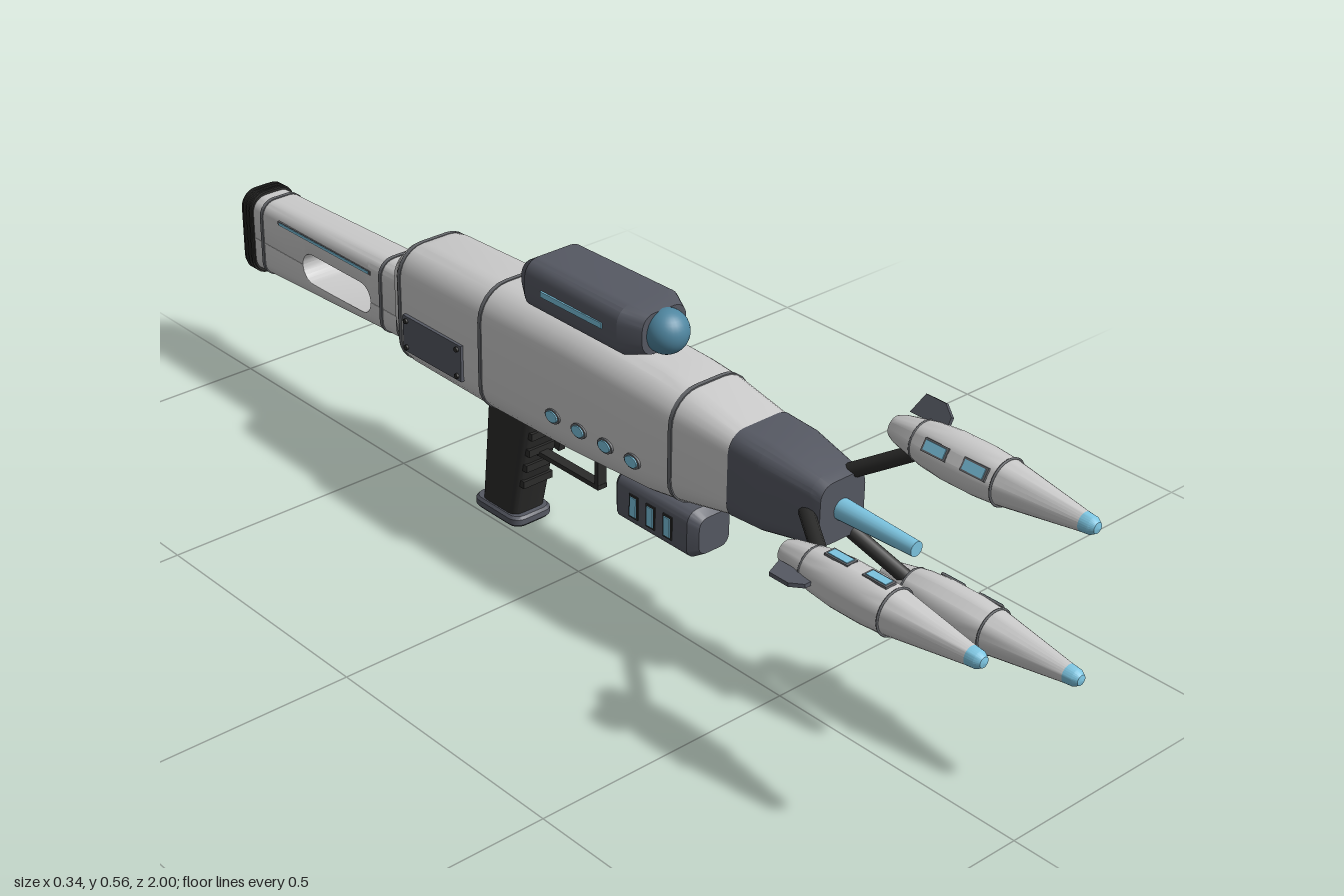
import * as THREE from 'three';
import { toCreasedNormals } from 'three/addons/utils/BufferGeometryUtils.js';

const CX = 0.05, AXIS_Y = 0.363; // centre line of the body and barrel
const mat = (color) => new THREE.MeshStandardMaterial({ color, side: THREE.DoubleSide });
const shell = mat(0xcccccc), dark = mat(0x555862), seamGrey = mat(0x66686c), black = mat(0x2b2b2a);
const blue = mat(0x7cc4e0), glass = mat(0x4f86a0);

export function createModel() {
  const model = new THREE.Group();

  function add(name, geometry, material, parent = model) {
    const mesh = new THREE.Mesh(geometry, material);
    mesh.name = name;
    parent.add(mesh);
    return mesh;
  }
  function box(name, w, h, d, x, y, z, material, parent) {
    const mesh = add(name, new THREE.BoxGeometry(w, h, d), material, parent);
    mesh.position.set(x, y, z);
    return mesh;
  }

  // Rounded-rectangle ring, section = [z, bottom, top, halfWidth, bottomRadius, topRadius]
  function ring([z, y0, y1, hw, rb, rt = rb]) {
    const corners = [[1, y0, rb, -90], [1, y1, rt, 0], [-1, y1, rt, 90], [-1, y0, rb, 180]];
    const pts = [];
    for (const [side, y, r, start] of corners) {
      const cy = y === y0 ? y0 + r : y1 - r;
      for (let i = 0; i <= 6; i++) {
        const a = THREE.MathUtils.degToRad(start + i * 15);
        pts.push([CX + side * (hw - r) + r * Math.cos(a), cy + r * Math.sin(a), z]);
      }
    }
    return pts;
  }
  // Capped skin over sections of ascending z
  function loft(sections, crease = 0.5) {
    const rings = sections.map(ring), pos = [], n = rings[0].length;
    const first = sections[0], last = sections[sections.length - 1];
    for (let j = 0; j < n; j++) {
      const k = (j + 1) % n;
      for (let i = 0; i < rings.length - 1; i++) {
        const a = rings[i][j], b = rings[i][k], c = rings[i + 1][k], d = rings[i + 1][j];
        pos.push(...a, ...b, ...c, ...a, ...c, ...d);
      }
      pos.push(CX, (first[1] + first[2]) / 2, first[0], ...rings[0][k], ...rings[0][j]);
      pos.push(CX, (last[1] + last[2]) / 2, last[0], ...rings.at(-1)[j], ...rings.at(-1)[k]);
    }
    const g = new THREE.BufferGeometry();
    g.setAttribute('position', new THREE.Float32BufferAttribute(pos, 3));
    return toCreasedNormals(g, crease);
  }
  // Thin raised band that follows a loft at z
  function band(name, sections, z, grow = 0.002, half = 0.004, material = seamGrey) {
    const i = Math.max(1, sections.findIndex((s) => s[0] >= z));
    const a = sections[i - 1], b = sections[i], t = (z - a[0]) / (b[0] - a[0]);
    const s = a.map((v, k) => v + (b[k] - v) * t);
    const at = (dz) => [z + dz, s[1] - grow, s[2] + grow, s[3] + grow, s[4] + grow];
    add(name, loft([at(-half), at(half)]), material);
  }

  // Main body with seams
  const body = [
    [-0.5, 0.268, 0.43, 0.056, 0.04], [-0.46, 0.238, 0.462, 0.08, 0.05], [-0.43, 0.233, 0.468, 0.085, 0.058],
    [-0.2, 0.231, 0.474, 0.087, 0.06], [0, 0.235, 0.478, 0.088, 0.06], [0.2, 0.246, 0.472, 0.087, 0.06],
    [0.27, 0.258, 0.465, 0.084, 0.055], [0.4, 0.287, 0.44, 0.069, 0.035]];
  add('body', loft(body), shell);
  for (const z of [-0.45, -0.217, 0.265]) band('bodySeam', body, z);

  // Tapered nose and barrel
  add('nose', loft([[0.385, 0.283, 0.443, 0.072, 0.035], [0.45, 0.286, 0.441, 0.07, 0.035],
    [0.55, 0.302, 0.424, 0.054, 0.028], [0.568, 0.308, 0.418, 0.049, 0.026]], 0.3), dark);
  const barrel = add('barrel', new THREE.CylinderGeometry(0.013, 0.019, 0.17, 20), blue);
  barrel.rotation.x = Math.PI / 2;
  barrel.position.set(CX, AXIS_Y, 0.64);

  // Stock: upper and lower halves leave a round-ended slot
  const slotMid = 0.3, slotR = 0.03, slotBack = -0.8, slotFront = -0.588;
  const zs = [-0.965, -0.94];
  const arc = [0, 10, 25, 40, 55, 70, 90].map((d) => slotR * Math.cos(THREE.MathUtils.degToRad(d)));
  for (const o of arc) zs.push(slotBack + slotR - o);
  for (const o of [...arc].reverse()) zs.push(slotFront - slotR + o);
  zs.push(-0.54, -0.47);
  const gap = (z) => {
    const c = THREE.MathUtils.clamp(z, slotBack + slotR, slotFront - slotR);
    return Math.sqrt(Math.max(0, slotR ** 2 - (z - c) ** 2));
  };
  const stockTop = (z) => 0.395 + (z + 0.5) * 0.03;
  const stockBottom = (z) => 0.247 + (z + 0.5) * 0.045;
  add('stockUpper', loft(zs.map((z) => [z, slotMid + gap(z), stockTop(z), 0.047, 0.001, 0.03])), shell);
  add('stockLower', loft(zs.map((z) => [z, stockBottom(z), slotMid - gap(z), 0.047, 0.03, 0.001])), shell);
  const stock = [-0.97, -0.47].map((z) => [z, stockBottom(z), stockTop(z), 0.047, 0.03]);
  for (const z of [-0.93, -0.555, -0.505]) band('stockSeam', stock, z);
  add('buttPad', loft([[-1, 0.222, 0.38, 0.045, 0.03], [-0.994, 0.219, 0.385, 0.049, 0.033],
    [-0.958, 0.22, 0.386, 0.049, 0.033]]), black);
  for (const z of [-0.986, -0.976, -0.966]) {
    add('buttPadRib', loft([[z - 0.002, 0.217, 0.388, 0.051, 0.034], [z + 0.002, 0.217, 0.388, 0.051, 0.034]]), black);
  }

  // Sight housing with round lens
  add('sight', loft([[-0.157, 0.48, 0.535, 0.042, 0.02], [-0.12, 0.468, 0.558, 0.066, 0.03],
    [0.115, 0.468, 0.559, 0.068, 0.03], [0.155, 0.478, 0.552, 0.048, 0.026]], 0.35), dark);
  const lens = add('sightLens', new THREE.SphereGeometry(0.039, 28, 20), glass);
  lens.position.set(CX, 0.515, 0.161);

  // Underslung light box
  add('lightBox', loft([[0.08, 0.158, 0.225, 0.034, 0.018], [0.095, 0.147, 0.235, 0.046, 0.022],
    [0.268, 0.147, 0.237, 0.046, 0.022], [0.285, 0.157, 0.225, 0.034, 0.018]], 0.35), dark);
  box('lightBoxMount', 0.05, 0.05, 0.12, CX, 0.245, 0.18, dark);

  // Side details, mirrored
  for (const s of [-1, 1]) {
    const x = (d) => CX + s * d;
    box('sightStripe', 0.006, 0.01, 0.155, x(0.067), 0.515, 0.002, blue);
    box('stockGroove', 0.004, 0.008, 0.29, x(0.0465), 0.36, -0.73, seamGrey);
    box('stockStripe', 0.006, 0.005, 0.28, x(0.0465), 0.36, -0.73, blue);
    box('sidePanel', 0.012, 0.07, 0.165, x(0.086), 0.315, -0.348, dark);
    for (const dy of [-0.026, 0.026]) for (const dz of [-0.072, 0.072]) {
      const bolt = add('panelBolt', new THREE.CylinderGeometry(0.005, 0.005, 0.006, 10), black);
      bolt.rotation.z = Math.PI / 2;
      bolt.position.set(x(0.093), 0.315 + dy, -0.348 + dz);
    }
    for (let i = 0; i < 4; i++) {
      for (const [name, r, len, m] of [['sideLightRim', 0.013, 0.008, seamGrey], ['sideLight', 0.01, 0.013, blue]]) {
        const light = add(name, new THREE.CylinderGeometry(r, r, len, 20), m);
        light.rotation.z = Math.PI / 2;
        light.scale.z = 1.45;
        light.position.set(x(0.087), 0.313, 0.18 - i * 0.067);
      }
    }
    for (let i = 0; i < 3; i++) {
      box('boxLightRim', 0.004, 0.044, 0.022, x(0.046), 0.191, 0.222 - i * 0.042, black);
      box('boxLight', 0.008, 0.036, 0.015, x(0.046), 0.191, 0.222 - i * 0.042, blue);
    }
  }

  // Raked grip, ridges and base plate (lofts stood upright)
  const upright = (sections) => loft(sections).rotateX(-Math.PI / 2);
  add('grip', upright([[0.015, 0.191, 0.287, 0.038, 0.018], [0.25, 0.14, 0.26, 0.044, 0.02]]), black);
  for (const y of [0.198, 0.162, 0.128, 0.092]) {
    box('gripRidge', 0.066, 0.014, 0.016, CX, y, -0.141 - (0.25 - y) * 0.217, black);
  }
  add('gripBase', upright([[0, 0.18, 0.3, 0.041, 0.02], [0.005, 0.176, 0.304, 0.045, 0.022],
    [0.016, 0.176, 0.304, 0.045, 0.022], [0.021, 0.18, 0.3, 0.041, 0.02]]), dark);

  // Trigger and guard
  box('guardFront', 0.02, 0.09, 0.009, CX, 0.196, 0, black);
  box('guardBottom', 0.02, 0.009, 0.17, CX, 0.154, -0.08, black);
  const trigger = box('trigger', 0.014, 0.06, 0.013, CX, 0.211, -0.105, black);
  trigger.rotation.x = 0.15;

  // Three pods on struts around the barrel
  const R = 0.152;
  const lathe = (pts) => toCreasedNormals(
    new THREE.LatheGeometry(pts.map((p) => new THREE.Vector2(...p)), 28).rotateX(Math.PI / 2), 0.5);
  const podShape = lathe([[0, 0.6], [0.019, 0.6], [0.024, 0.612], [0.037, 0.675], [0.041, 0.72],
    [0.041, 0.78], [0.038, 0.82], [0.016, 0.972]]);
  const tipShape = lathe([[0.016, 0.972], [0.0145, 0.988], [0.009, 0.997], [0, 1]]);
  const finOutline = new THREE.Shape([[0.03, 0.615], [0.066, 0.63], [0.066, 0.67], [0.05, 0.69], [0.03, 0.69]]
    .map((p) => new THREE.Vector2(...p)));
  const finShape = new THREE.ExtrudeGeometry(finOutline, { depth: 0.007, bevelEnabled: false })
    .translate(0, 0, -0.0035).rotateX(Math.PI / 2);
  for (const degrees of [60, 180, 300]) {
    const arm = new THREE.Group();
    arm.name = 'podArm';
    arm.position.set(CX, AXIS_Y, 0);
    arm.rotation.z = THREE.MathUtils.degToRad(degrees);
    model.add(arm);
    const from = new THREE.Vector3(0.035, 0, 0.52), to = new THREE.Vector3(0.135, 0, 0.66);
    const strut = add('strut', new THREE.CylinderGeometry(0.013, 0.013, from.distanceTo(to), 10), black, arm);
    strut.position.copy(from).lerp(to, 0.5);
    strut.quaternion.setFromUnitVectors(new THREE.Vector3(0, 1, 0), to.clone().sub(from).normalize());
    const pod = new THREE.Group();
    pod.name = 'pod';
    pod.position.x = R;
    arm.add(pod);
    add('podBody', podShape, shell, pod);
    add('podTip', tipShape, blue, pod);
    add('podFin', finShape, dark, pod);
    add('podSeam', new THREE.TorusGeometry(0.0385, 0.002, 6, 32), seamGrey, pod).position.z = 0.825;
    add('podSeam', new THREE.TorusGeometry(0.033, 0.002, 6, 32), seamGrey, pod).position.z = 0.658;
    for (const s of [-1, 1]) for (const z of [0.712, 0.79]) {
      box('podLightRim', 0.022, 0.004, 0.048, 0, s * 0.04, z, seamGrey, pod);
      box('podLight', 0.016, 0.007, 0.04, 0, s * 0.04, z, blue, pod);
    }
  }
  return model;
}
